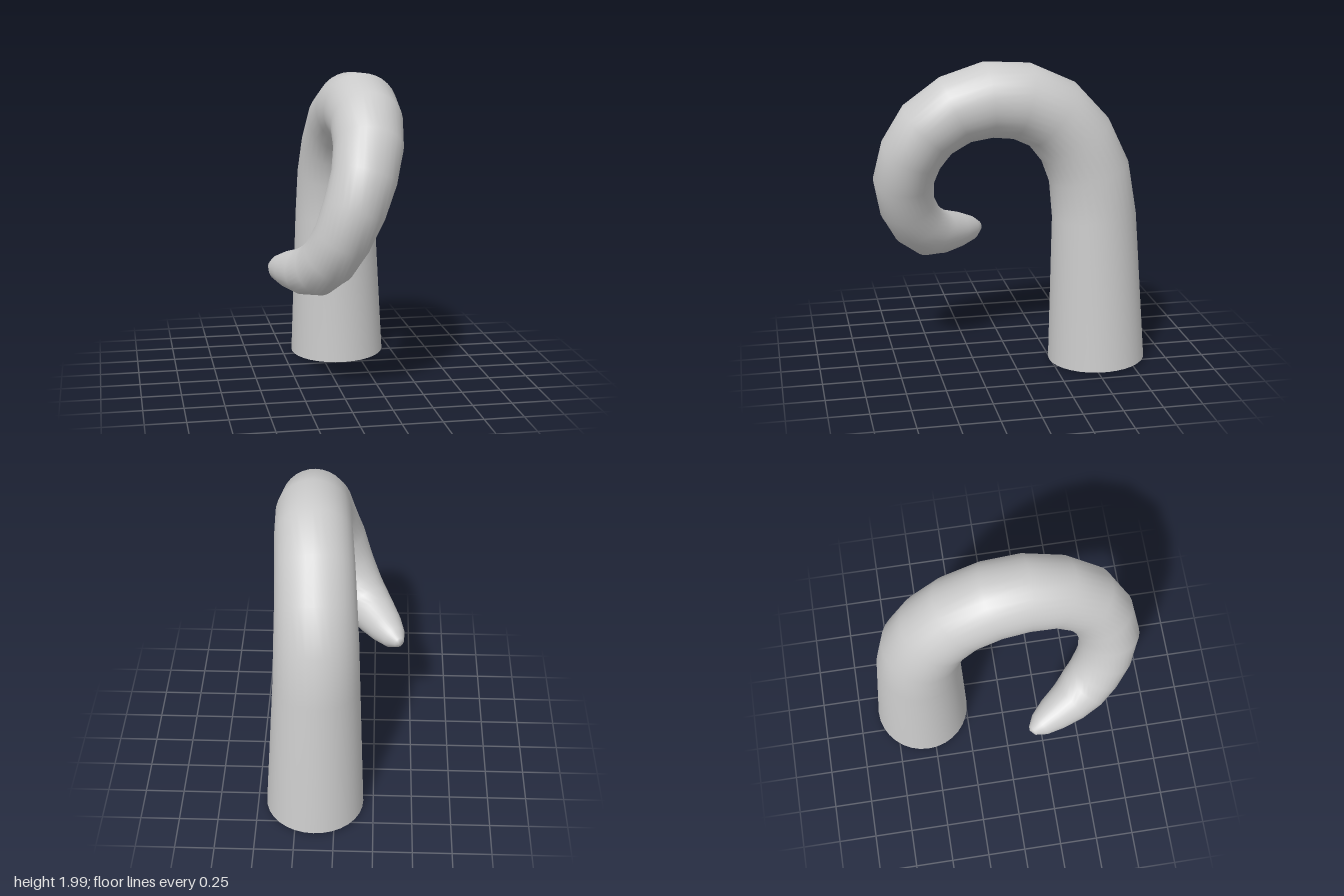
import * as THREE from 'three';

const SIDES = 32;
const WALL = 0.065;

// Stations along the curl, base to tip: x, y, z, radius
const STATIONS = [
  [0.13, 0.015, -0.555, 0.315],
  [0.115, 0.98, -0.53, 0.27],
  [0.115, 1.27, -0.49, 0.26],
  [0.12, 1.485, -0.395, 0.25],
  [0.13, 1.655, -0.245, 0.244],
  [0.145, 1.748, -0.045, 0.241],
  [0.155, 1.765, 0.165, 0.236],
  [0.153, 1.71, 0.37, 0.222],
  [0.13, 1.59, 0.54, 0.212],
  [0.085, 1.425, 0.64, 0.2],
  [0.02, 1.245, 0.683, 0.191],
  [-0.05, 1.06, 0.655, 0.178],
  [-0.115, 0.925, 0.585, 0.173],
  [-0.18, 0.845, 0.5, 0.166],
  [-0.25, 0.812, 0.4, 0.143],
  [-0.315, 0.8, 0.285, 0.116],
  [-0.37, 0.79, 0.19, 0.08],
  [-0.403, 0.79, 0.135, 0.035],
];

const centres = STATIONS.map(([x, y, z]) => new THREE.Vector3(x, y, z));

// Circle of points square to the centre line at station i
function ring(i, radius) {
  const last = centres.length - 1;
  const t = centres[Math.min(i + 1, last)].clone().sub(centres[Math.max(i - 1, 0)]).normalize();
  const u = new THREE.Vector3(1, 0, 0).addScaledVector(t, -t.x).normalize();
  const v = t.clone().cross(u);
  return Array.from({ length: SIDES }, (_, k) => {
    const a = (k / SIDES) * Math.PI * 2;
    return centres[i].clone()
      .addScaledVector(u, radius * Math.cos(a))
      .addScaledVector(v, radius * Math.sin(a));
  });
}

// Smooth skin through a row of rings, with an optional closing point
function skin(name, rings, inward = false, tip = null) {
  const points = rings.flat();
  const index = [];
  const tri = (a, b, c) => (inward ? index.push(a, c, b) : index.push(a, b, c));
  for (let i = 0; i < rings.length - 1; i++) {
    for (let k = 0; k < SIDES; k++) {
      const a = i * SIDES + k;
      const b = i * SIDES + ((k + 1) % SIDES);
      tri(a, b, a + SIDES);
      tri(b, b + SIDES, a + SIDES);
    }
  }
  if (tip) {
    const start = (rings.length - 1) * SIDES;
    for (let k = 0; k < SIDES; k++) tri(start + k, start + ((k + 1) % SIDES), points.length);
    points.push(tip);
  }
  const geometry = new THREE.BufferGeometry().setFromPoints(points);
  geometry.setIndex(index);
  geometry.computeVertexNormals();
  const mesh = new THREE.Mesh(geometry, new THREE.MeshStandardMaterial({ color: 0xcccccc }));
  mesh.name = name;
  return mesh;
}

export function createModel() {
  const model = new THREE.Group();
  model.name = 'curledTentacle';

  // Tapering outside, closed by a blunt tip
  const outer = STATIONS.map((s, i) => ring(i, s[3]));
  model.add(skin('outerSkin', outer, false, new THREE.Vector3(-0.4, 0.79, 0.117)));

  // Hollow inside, ending before the thin tip
  const hollow = STATIONS.slice(0, -2).map((s, i) => ring(i, s[3] - WALL));
  model.add(skin('innerWall', hollow, true, centres[STATIONS.length - 2]));

  // Flat rim around the open base
  model.add(skin('baseRim', [hollow[0], outer[0]]));
  return model;
}
